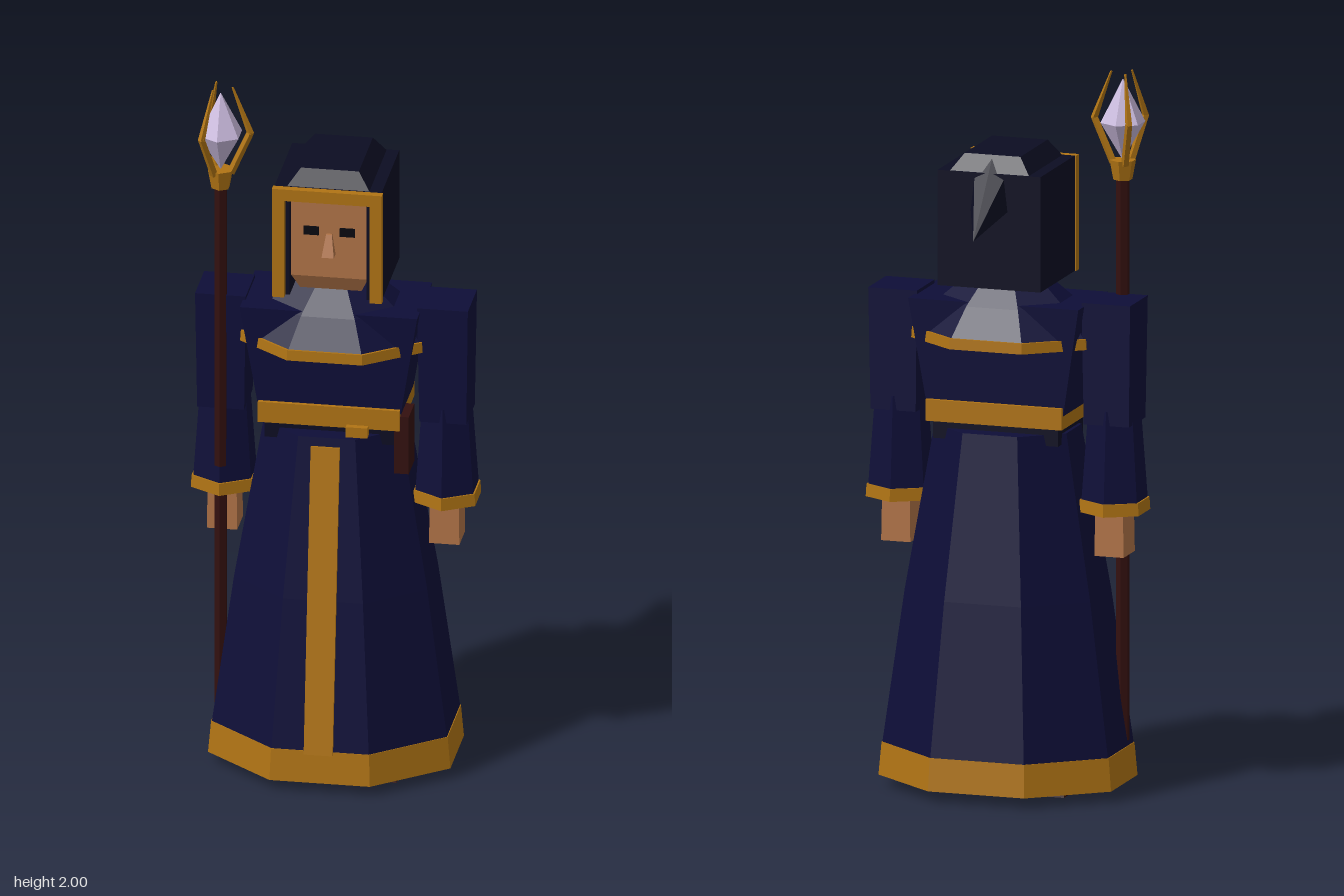
import * as THREE from 'three';
import { ConvexGeometry } from 'three/addons/geometries/ConvexGeometry.js';

const paint = (name, color) => {
  const m = new THREE.MeshStandardMaterial({ color });
  m.name = name;
  return m;
};

// Hard-edged facets for the low-poly look
function facet(g) {
  const f = g.index ? g.toNonIndexed() : g;
  f.computeVertexNormals();
  return f;
}

// Many-sided solid from [apothem, y] steps, bottom to top, with closed ends
function rings(steps, sides, turn, depth = 1) {
  const k = 1 / Math.cos(Math.PI / sides);
  const pts = steps.map(([r, y]) => new THREE.Vector2(r * k, y));
  pts.unshift(new THREE.Vector2(0, pts[0].y));
  pts.push(new THREE.Vector2(0, pts[pts.length - 1].y));
  return facet(new THREE.LatheGeometry(pts, sides, turn).scale(1, 1, depth));
}

// Box given by its limits
function box(x0, x1, y0, y1, z0, z1) {
  return new THREE.BoxGeometry(x1 - x0, y1 - y0, z1 - z0)
    .translate((x0 + x1) / 2, (y0 + y1) / 2, (z0 + z1) / 2);
}

// Box whose bottom and top have different half sizes [x, z]
function taper([x0, z0], [x1, z1], y0, y1) {
  const g = new THREE.BoxGeometry(2, 1, 2);
  const p = g.attributes.position;
  for (let i = 0; i < p.count; i++) {
    const up = p.getY(i) > 0;
    p.setXYZ(i, p.getX(i) * (up ? x1 : x0), up ? y1 : y0, p.getZ(i) * (up ? z1 : z0));
  }
  return facet(g);
}

// Straight tapering rod between two points
function rod(a, b, ra, rb, sides) {
  const d = b.clone().sub(a);
  const q = new THREE.Quaternion().setFromUnitVectors(new THREE.Vector3(0, 1, 0), d.clone().normalize());
  const mid = a.clone().add(b).multiplyScalar(0.5);
  return facet(new THREE.CylinderGeometry(rb, ra, d.length(), sides)
    .applyQuaternion(q).translate(mid.x, mid.y, mid.z));
}

export function createModel() {
  const root = new THREE.Group();
  root.name = 'robedWizard';
  const robe = paint('navy robe', 0x0e0e38);
  const dark = paint('dark hood cloth', 0x0c0d22);
  const gold = paint('gold trim', 0xb07414);
  const skin = paint('skin', 0xb07347);
  const leather = paint('dark leather and wood', 0x33100f);
  const eyeInk = paint('eye black', 0x08080f);
  const gem = paint('lilac crystal', 0xcabadd);

  const add = (name, geo, mat, parent = root) => {
    const m = new THREE.Mesh(geo, mat);
    m.name = name;
    parent.add(m);
    return m;
  };
  const group = (name) => {
    const g = new THREE.Group();
    g.name = name;
    root.add(g);
    return g;
  };
  const OCT = Math.PI / 8;

  // Skirt with gold hem and hanging front band
  add('skirt', rings([[0.325, 0.12], [0.267, 0.55], [0.19, 1.01]], 8, OCT, 0.806), robe);
  add('hem', rings([[0.335, 0.03], [0.327, 0.122]], 8, OCT, 0.806), gold);
  const band = add('frontBand', new THREE.BoxGeometry(0.08, 0.876, 0.009), gold);
  band.position.set(0, 0.558, 0.233);
  band.rotation.x = -Math.atan2(0.115, 0.87);

  // Torso, belt and hip pouch
  add('waist', box(-0.18, 0.18, 0.98, 1.04, -0.105, 0.105), dark);
  add('torso', taper([0.19, 0.107], [0.245, 0.125], 1.03, 1.37), robe);
  add('belt', box(-0.196, 0.196, 1.03, 1.09, -0.122, 0.122), gold);
  add('buckle', box(0.05, 0.11, 1.01, 1.04, 0.11, 0.14), gold);
  add('pouch', box(0.18, 0.22, 0.9, 1.07, 0.02, 0.113), leather);

  // Shoulder cape
  add('cape', rings([[0.245, 1.278], [0.18, 1.36], [0.09, 1.44]], 8, OCT, 0.75), robe);
  add('capeTrim', rings([[0.252, 1.25], [0.25, 1.28]], 8, OCT, 0.755), gold);

  // Arms and boots, mirrored
  for (const s of [1, -1]) {
    const arm = group(s > 0 ? 'leftArm' : 'rightArm');
    add('upperArm', taper([0.065, 0.07], [0.07, 0.075], 1.04, 1.38), robe, arm);
    add('sleeve', rings([[0.08, 0.82], [0.063, 1.08]], 6, 0), robe, arm);
    add('cuff', rings([[0.086, 0.79], [0.084, 0.825]], 6, 0), gold, arm);
    add('hand', taper([0.042, 0.048], [0.04, 0.046], 0.67, 0.8), skin, arm);
    arm.position.x = s * 0.307;
    const boot = taper([0.077, 0.133], [0.077, 0.12], 0, 0.06);
    add(s > 0 ? 'leftBoot' : 'rightBoot', boot, leather).position.set(s * 0.118, 0, 0.033);
  }

  // Head and face
  const head = group('head');
  add('skull', box(-0.106, 0.106, 1.47, 1.705, -0.11, 0.108), skin, head);
  add('chin', taper([0.085, 0.085], [0.106, 0.108], 1.425, 1.47), skin, head);
  add('neck', box(-0.06, 0.06, 1.38, 1.44, -0.05, 0.05), skin, head);
  add('nose', taper([0.017, 0.03], [0.008, 0.008], 1.54, 1.6), skin, head).position.z = 0.108;
  for (const s of [1, -1]) {
    const eye = add('eye', new THREE.BoxGeometry(0.042, 0.025, 0.006), eyeInk, head);
    eye.position.set(s * 0.05, 1.607, 0.109);
  }

  // Hood shell, open at the face and below
  const hood = group('hood');
  for (const s of [1, -1]) {
    add('hoodSide', new THREE.BoxGeometry(0.042, 0.32, 0.29), dark, hood).position.set(s * 0.127, 1.58, -0.015);
    add('sideTrim', new THREE.BoxGeometry(0.034, 0.32, 0.022), gold, hood).position.set(s * 0.135, 1.58, 0.141);
  }
  add('hoodBack', box(-0.148, 0.148, 1.42, 1.74, -0.16, -0.11), dark, hood);
  add('hoodRoof', box(-0.148, 0.148, 1.7, 1.742, -0.16, 0.13), dark, hood);
  add('topTrim', box(-0.152, 0.152, 1.708, 1.742, 0.13, 0.152), gold, hood);
  add('hoodCrown', taper([0.115, 0.142], [0.08, 0.115], 1.74, 1.788), dark, hood).position.z = -0.015;
  const tip = [[-0.055, 1.77, -0.12], [0.055, 1.77, -0.12], [0, 1.785, -0.13],
    [-0.055, 1.64, -0.155], [0.055, 1.64, -0.155], [0, 1.58, -0.295]];
  add('hoodTip', facet(new ConvexGeometry(tip.map((p) => new THREE.Vector3(...p)))), dark, hood);

  // Staff with a crystal held by three prongs
  const staff = group('staff');
  staff.position.set(-0.307, 0, 0.07);
  add('shaft', rings([[0.016, 0.1], [0.016, 1.72]], 6, 0), leather, staff);
  add('collar', rings([[0.023, 1.7], [0.032, 1.755]], 6, 0), gold, staff);
  add('crystal', rings([[0.001, 1.755], [0.054, 1.86], [0.001, 1.98]], 6, 0), gem, staff);
  for (let i = 0; i < 3; i++) {
    const a = (i * Math.PI * 2) / 3;
    const at = (r, y) => new THREE.Vector3(r * Math.cos(a), y, r * Math.sin(a));
    add('prongLower', rod(at(0.028, 1.745), at(0.083, 1.87), 0.011, 0.01, 4), gold, staff);
    add('prongUpper', rod(at(0.083, 1.865), at(0.033, 2), 0.01, 0.003, 4), gold, staff);
  }
  return root;
}
